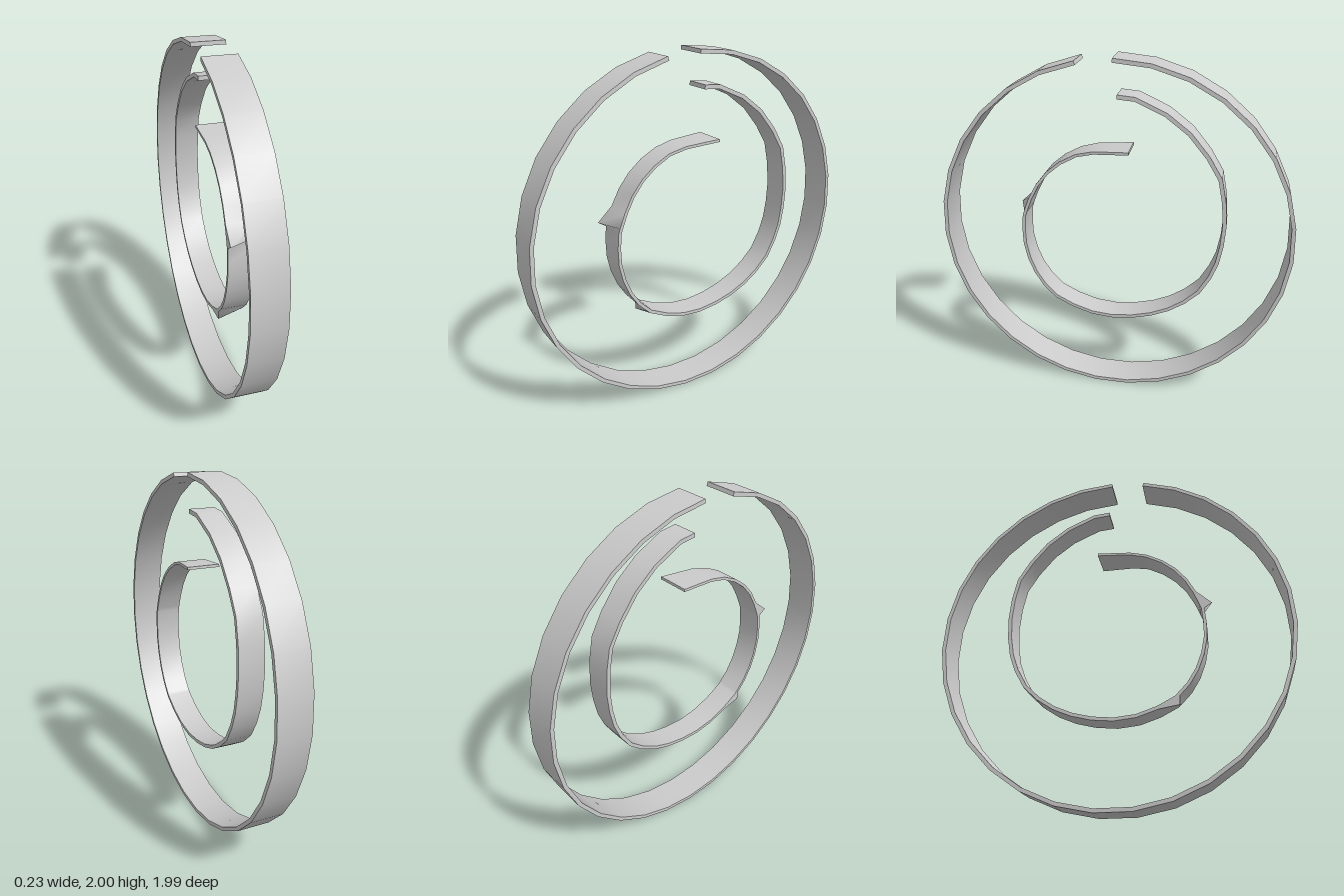
import * as THREE from 'three';

// Closed ribbon swept along (z, y) stations; each strip of the cross-section is smooth along its length.
// station: { z, y, x0, x1, t, tip } - tip optionally pulls the outer -x corner to a (z, y) point
function ribbon(name, stations, material) {
  const n = stations.length;
  const rings = stations.map((s, i) => {
    const a = stations[Math.max(i - 1, 0)], b = stations[Math.min(i + 1, n - 1)];
    const len = Math.hypot(b.z - a.z, b.y - a.y);
    const oz = ((b.y - a.y) / len) * s.t / 2, oy = (-(b.z - a.z) / len) * s.t / 2;
    const ring = [
      [s.x0, s.y + oy, s.z + oz], [s.x1, s.y + oy, s.z + oz],
      [s.x1, s.y - oy, s.z - oz], [s.x0, s.y - oy, s.z - oz],
    ];
    if (s.tip) ring[0] = [s.x0, s.tip[1], s.tip[0]];
    return ring;
  });
  const positions = [], index = [];
  for (let k = 0; k < 4; k++) {
    const base = positions.length / 3;
    rings.forEach((r, i) => {
      positions.push(...r[k], ...r[(k + 1) % 4]);
      if (i < n - 1) {
        const p = base + i * 2;
        index.push(p, p + 1, p + 3, p, p + 3, p + 2);
      }
    });
  }
  // end caps
  for (const [ring, order] of [[rings[0], [0, 3, 2, 1]], [rings[n - 1], [0, 1, 2, 3]]]) {
    const base = positions.length / 3;
    order.forEach((k) => positions.push(...ring[k]));
    index.push(base, base + 1, base + 2, base, base + 2, base + 3);
  }
  const geometry = new THREE.BufferGeometry();
  geometry.setAttribute('position', new THREE.Float32BufferAttribute(positions, 3));
  geometry.setIndex(index);
  geometry.computeVertexNormals();
  const mesh = new THREE.Mesh(geometry, material);
  mesh.name = name;
  return mesh;
}

export function createModel() {
  const group = new THREE.Group();
  group.name = 'splitRings';
  const material = new THREE.MeshStandardMaterial({ color: 0xcccccc, side: THREE.DoubleSide });

  // large ring with a gap at the top
  const outer = [];
  const segments = 30, sweep = THREE.MathUtils.degToRad(348.8);
  for (let i = 0; i <= segments; i++) {
    const a = (i / segments) * sweep;
    outer.push({ z: -0.987 * Math.sin(a), y: 0.997 + 0.989 * Math.cos(a), x0: -0.115, x1: 0.07, t: 0.022 });
  }
  group.add(ribbon('outerRing', outer, material));

  // inner spiral path as z, y (plus the z, y of a barb tip)
  const path = [
    [-0.025, 1.805], [-0.12, 1.797], [-0.28, 1.725], [-0.405, 1.63], [-0.505, 1.51],
    [-0.575, 1.395], [-0.603, 1.265], [-0.615, 1.13], [-0.608, 1.01], [-0.59, 0.905],
    [-0.556, 0.81], [-0.5, 0.71], [-0.42, 0.633], [-0.33, 0.573], [-0.23, 0.53],
    [-0.12, 0.502], [0, 0.49], [0.12, 0.502], [0.235, 0.54], [0.335, 0.592, 0.355, 0.55],
    [0.35, 0.607], [0.405, 0.665], [0.455, 0.745], [0.49, 0.835], [0.51, 0.93],
    [0.512, 1.02], [0.505, 1.105], [0.495, 1.135, 0.558, 1.135], [0.465, 1.21], [0.42, 1.295],
    [0.36, 1.37], [0.285, 1.432], [0.195, 1.48], [0.1, 1.505], [0, 1.513], [-0.095, 1.52],
  ];
  const last = path.length - 1;
  const inner = path.map(([z, y, tz, ty], i) => ({
    z, y, x0: -0.07,
    x1: 0.073 + 0.013 * Math.max(0, i - last + 3), // flares towards the free end
    t: 0.023 - 0.008 * (i / last),
    tip: tz === undefined ? null : [tz, ty],
  }));
  group.add(ribbon('innerSpiral', inner, material));
  return group;
}
